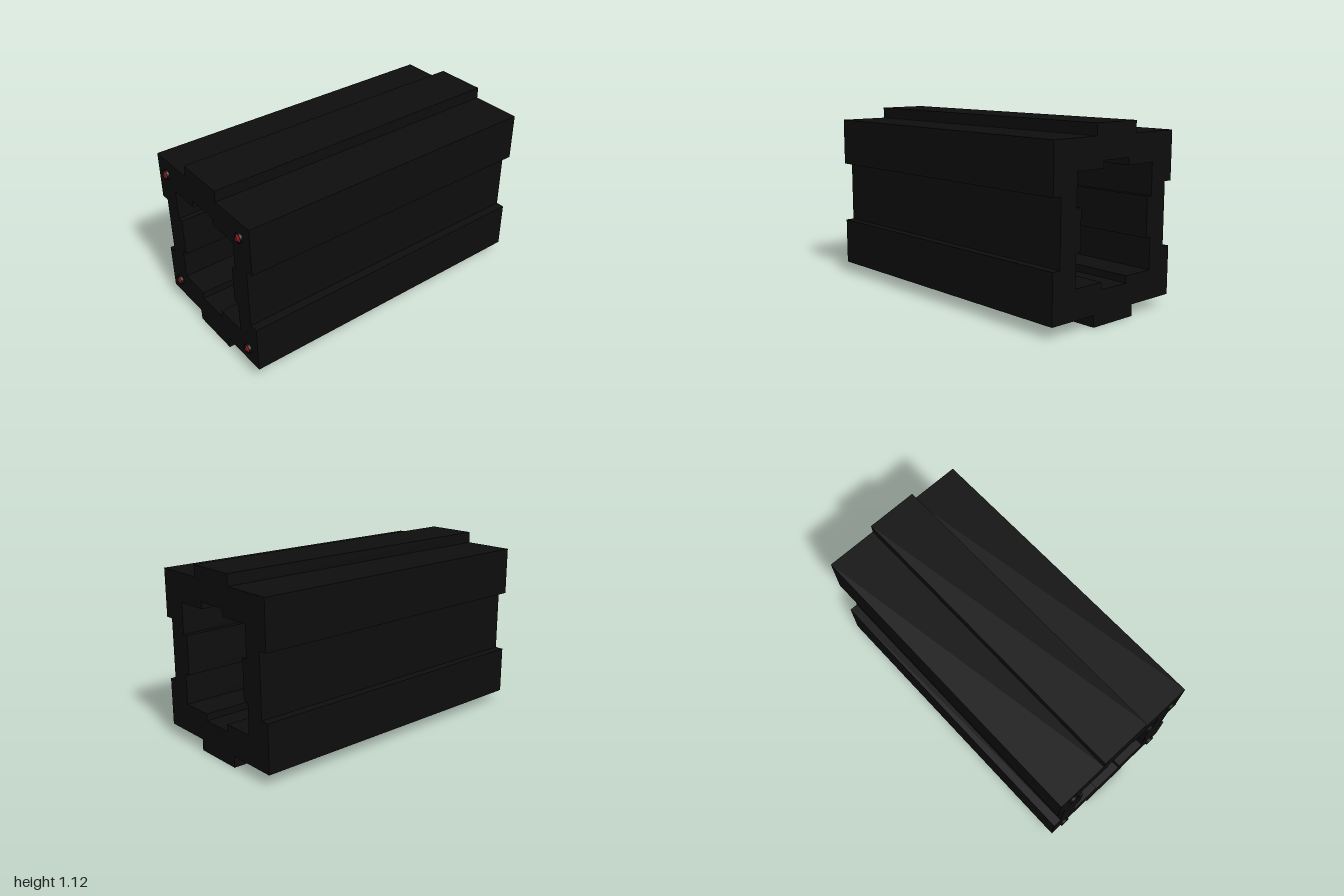
import * as THREE from 'three';

const CY = 0.5625; // height of the profile's centre
const BACK = -1, FRONT = 0.985;

// Mirror one quadrant of corners (x, y from the centre) into a closed outline
function mirrored(quadrant) {
  const back = [...quadrant].reverse();
  return [
    ...quadrant,
    ...back.map(([x, y]) => [-x, y]),
    ...quadrant.map(([x, y]) => [-x, -y]),
    ...back.map(([x, y]) => [x, -y]),
  ].map(([x, y]) => new THREE.Vector2(x, y + CY));
}

export function createModel() {
  const model = new THREE.Group();
  const black = new THREE.MeshStandardMaterial({ color: 0x0d0d0d });
  const red = new THREE.MeshStandardMaterial({ color: 0xd01018 });

  // Hollow beam: stepped outline with a stepped tunnel
  const profile = new THREE.Shape(mirrored([
    [0.435, 0.195], [0.49, 0.195], [0.49, 0.4925], [0.163, 0.4925], [0.163, 0.5625],
  ]));
  profile.holes.push(new THREE.Path(mirrored([
    [0.278, 0.122], [0.313, 0.122], [0.313, 0.315], [0.105, 0.315], [0.105, 0.358],
  ])));
  const beam = new THREE.Mesh(
    new THREE.ExtrudeGeometry(profile, { depth: FRONT - BACK, bevelEnabled: false }), black);
  beam.name = 'hollowBeam';
  beam.position.z = BACK;
  model.add(beam);

  // Corner lamps: a black collar around a red domed lens
  const collarGeo = new THREE.LatheGeometry(
    [[0.0315, 0], [0.0315, 0.015], [0.0255, 0.015], [0.0255, 0]].map(p => new THREE.Vector2(...p)), 32);
  const lensGeo = new THREE.SphereGeometry(0.0258, 32, 8, 0, Math.PI * 2, 0, Math.PI / 2);
  lensGeo.scale(1, 0.3, 1).translate(0, 0.007, 0);
  const collarMat = black.clone();
  collarMat.side = THREE.DoubleSide;
  collarMat.flatShading = true;
  for (const sx of [1, -1]) {
    for (const sy of [1, -1]) {
      const lamp = new THREE.Group();
      lamp.name = (sy > 0 ? 'upper' : 'lower') + (sx > 0 ? 'Left' : 'Right') + 'Lamp';
      const collar = new THREE.Mesh(collarGeo, collarMat);
      collar.name = 'collar';
      const lens = new THREE.Mesh(lensGeo, red);
      lens.name = 'lens';
      lamp.add(collar, lens);
      lamp.rotation.x = Math.PI / 2;
      lamp.position.set(sx * 0.393, CY + sy * 0.394, FRONT);
      model.add(lamp);
    }
  }
  return model;
}
